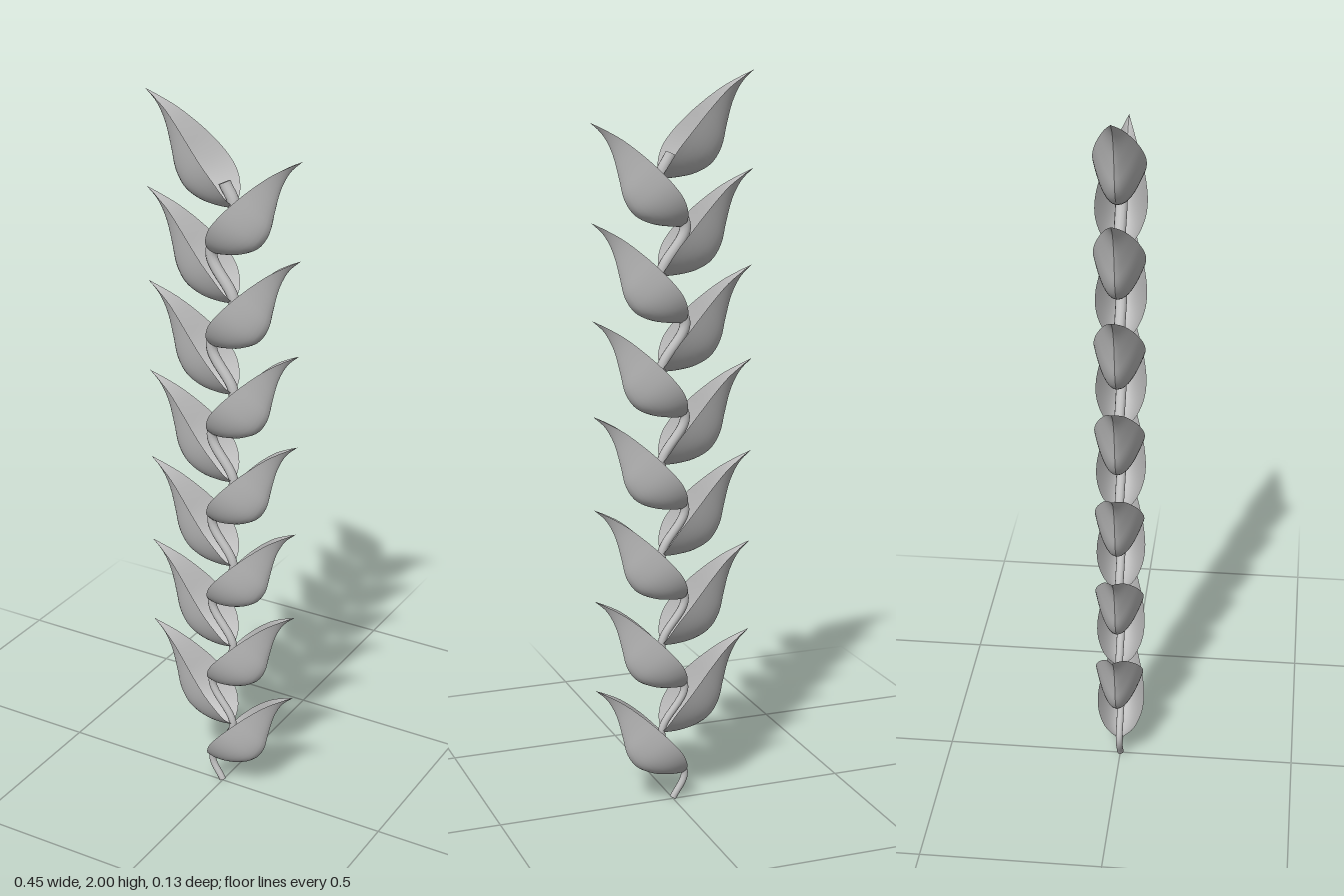
import * as THREE from 'three';

const PAIRS = 7, STEP = 0.127, FIRST = 0.075, SWING = 0.034;
const grey = new THREE.MeshStandardMaterial({ color: 0xc0c0c0, side: THREE.DoubleSide });
grey.name = 'leaf grey';

const curve = (pts) => new THREE.CatmullRomCurve3(pts.map((p) => new THREE.Vector3(p[0], p[1], p[2] || 0)));

// Leaf outline relative to its base, for a leaf leaning towards +x
const keel = curve([[0, 0], [0.045, 0.003], [0.095, 0.012], [0.14, 0.035], [0.168, 0.075],
  [0.182, 0.13], [0.2, 0.195], [0.226, 0.243], [0.259, 0.274]]);
const rim = curve([[0, 0, 0], [0.006, 0.035, 0.04], [0.026, 0.078, 0.062], [0.056, 0.116, 0.067],
  [0.096, 0.158, 0.059], [0.135, 0.194, 0.045], [0.18, 0.23, 0.027], [0.22, 0.254, 0.013], [0.259, 0.274, 0]]);

// Half of a cupped leaf: rounded sections at the base, sharpening to a V at the tip
function halfLeaf(side, front) {
  const rows = 28, cols = 8, pos = [], index = [];
  for (let i = 0; i <= rows; i++) {
    const t = i / rows, k = keel.getPoint(t), r = rim.getPoint(t);
    const power = 2 - 0.8 * t;
    for (let j = 0; j <= cols; j++) {
      const s = j / cols, f = Math.pow(s, power);
      const w = Math.pow(s, 1 - 0.2 * (1 - t));
      pos.push(side * (k.x + (r.x - k.x) * f), k.y + (r.y - k.y) * f, front * r.z * w);
      if (i < rows && j < cols) {
        const a = i * (cols + 1) + j, b = a + cols + 1;
        if (side * front > 0) index.push(a, a + 1, b, b, a + 1, b + 1);
        else index.push(a, b, a + 1, b, b + 1, a + 1);
      }
    }
  }
  const geo = new THREE.BufferGeometry();
  geo.setAttribute('position', new THREE.Float32BufferAttribute(pos, 3));
  geo.setIndex(index);
  geo.computeVertexNormals();
  return geo;
}

// Winding stem that thickens upwards, with closed ends
function makeStem() {
  const group = new THREE.Group();
  group.name = 'stem';
  const pts = [[0, 0.005]];
  for (let i = 0; i < PAIRS * 2; i++) pts.push([i % 2 ? SWING : -SWING, FIRST + i * STEP]);
  pts.push([0.005, 1.79]);
  const path = curve(pts), segs = 200, sides = 12;
  const radius = (u) => 0.0095 + 0.0065 * u;
  const geo = new THREE.TubeGeometry(path, segs, 1, sides);
  const p = geo.attributes.position, v = new THREE.Vector3();
  for (let i = 0; i <= segs; i++) {
    const c = path.getPointAt(i / segs);
    for (let j = 0; j <= sides; j++) {
      const n = i * (sides + 1) + j;
      v.fromBufferAttribute(p, n).sub(c).multiplyScalar(radius(i / segs)).add(c);
      p.setXYZ(n, v.x, v.y, v.z);
    }
  }
  const tube = new THREE.Mesh(geo, grey);
  tube.name = 'stemTube';
  group.add(tube);
  for (const u of [0, 1]) {
    const cap = new THREE.Mesh(new THREE.CircleGeometry(radius(u), sides), grey);
    cap.name = u ? 'stemTop' : 'stemBottom';
    const dir = path.getTangentAt(u).multiplyScalar(u ? 1 : -1);
    cap.quaternion.setFromUnitVectors(new THREE.Vector3(0, 0, 1), dir);
    cap.position.copy(path.getPointAt(u));
    group.add(cap);
  }
  return group;
}

export function createModel() {
  const model = new THREE.Group();
  model.name = 'leafySprig';
  model.add(makeStem());

  // Leaves alternate left and right up the stem
  const halves = [1, -1].map((side) => [halfLeaf(side, 1), halfLeaf(side, -1)]);
  for (let i = 0; i < PAIRS * 2; i++) {
    const leaf = new THREE.Group();
    leaf.name = i % 2 ? 'rightLeaf' : 'leftLeaf';
    halves[i % 2].forEach((geo, h) => {
      const mesh = new THREE.Mesh(geo, grey);
      mesh.name = h ? 'leafBackHalf' : 'leafFrontHalf';
      leaf.add(mesh);
    });
    leaf.position.set(i % 2 ? SWING : -SWING, FIRST + i * STEP, 0);
    model.add(leaf);
  }
  return model;
}
